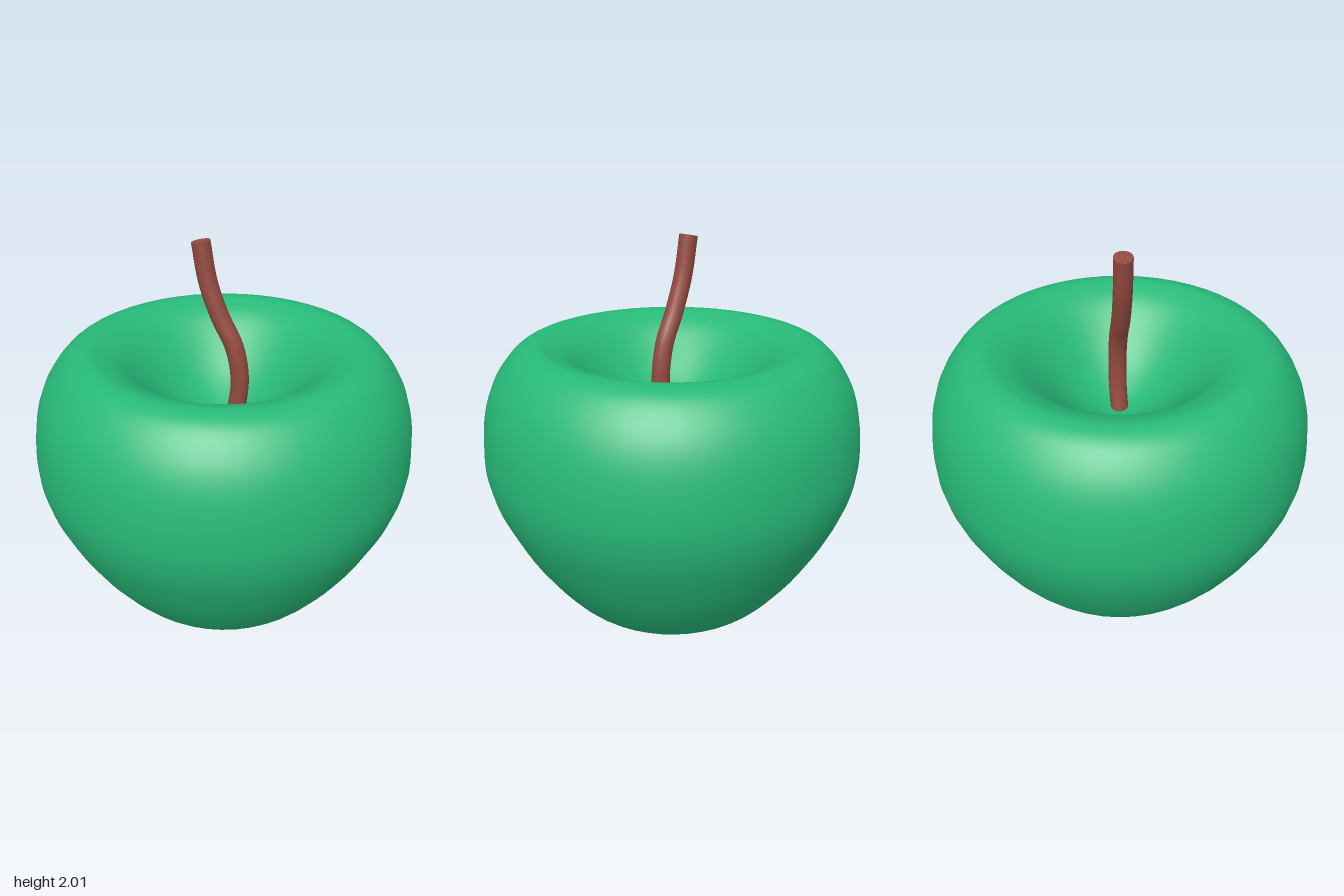
import * as THREE from 'three';

const V2 = (p) => new THREE.Vector2(...p);
const V3 = (p) => new THREE.Vector3(...p);

export function createModel() {
  const skin = new THREE.MeshStandardMaterial({ color: 0x27b877 });
  skin.name = 'green skin';
  const bark = new THREE.MeshStandardMaterial({ color: 0x934a3f });
  bark.name = 'brown stem';

  const apple = new THREE.Group();
  apple.name = 'apple';

  // Body: profile from the bottom hollow, round the side, into the top hollow
  const profile = new THREE.SplineCurve([
    [0, 0.13], [0.12, 0.11], [0.24, 0.05], [0.32, 0.012], [0.39, 0.003],
    [0.48, 0.04], [0.61, 0.15], [0.78, 0.38], [0.91, 0.63], [0.965, 0.8],
    [0.978, 0.95], [0.957, 1.15], [0.9, 1.31], [0.8, 1.44], [0.7, 1.485],
    [0.62, 1.472], [0.52, 1.42], [0.4, 1.31], [0.25, 1.17], [0.1, 1.08], [0, 1.06],
  ].map(V2));
  const points = profile.getPoints(80);
  points[0].x = points[80].x = 0;
  const body = new THREE.Mesh(new THREE.LatheGeometry(points, 48), skin);
  body.name = 'body';
  apple.add(body);

  // Stem: S-curved tube rising from the hollow
  const path = new THREE.CatmullRomCurve3([
    [0.03, 1.0, 0.01], [0.075, 1.18, 0.008], [0.085, 1.32, 0.008], [0.055, 1.48, 0.006],
    [-0.02, 1.63, 0], [-0.083, 1.8, -0.008], [-0.12, 1.998, -0.015],
  ].map(V3));
  const stem = new THREE.Group();
  stem.name = 'stem';
  const tube = new THREE.Mesh(new THREE.TubeGeometry(path, 32, 0.047, 16), bark);
  tube.name = 'stemTube';

  // Flat cut end of the stem
  const cap = new THREE.Mesh(new THREE.CircleGeometry(0.047, 16), bark);
  cap.name = 'stemEnd';
  cap.position.copy(path.getPoint(1));
  cap.quaternion.setFromUnitVectors(new THREE.Vector3(0, 0, 1), path.getTangent(1));
  stem.add(tube, cap);
  apple.add(stem);

  return apple;
}
